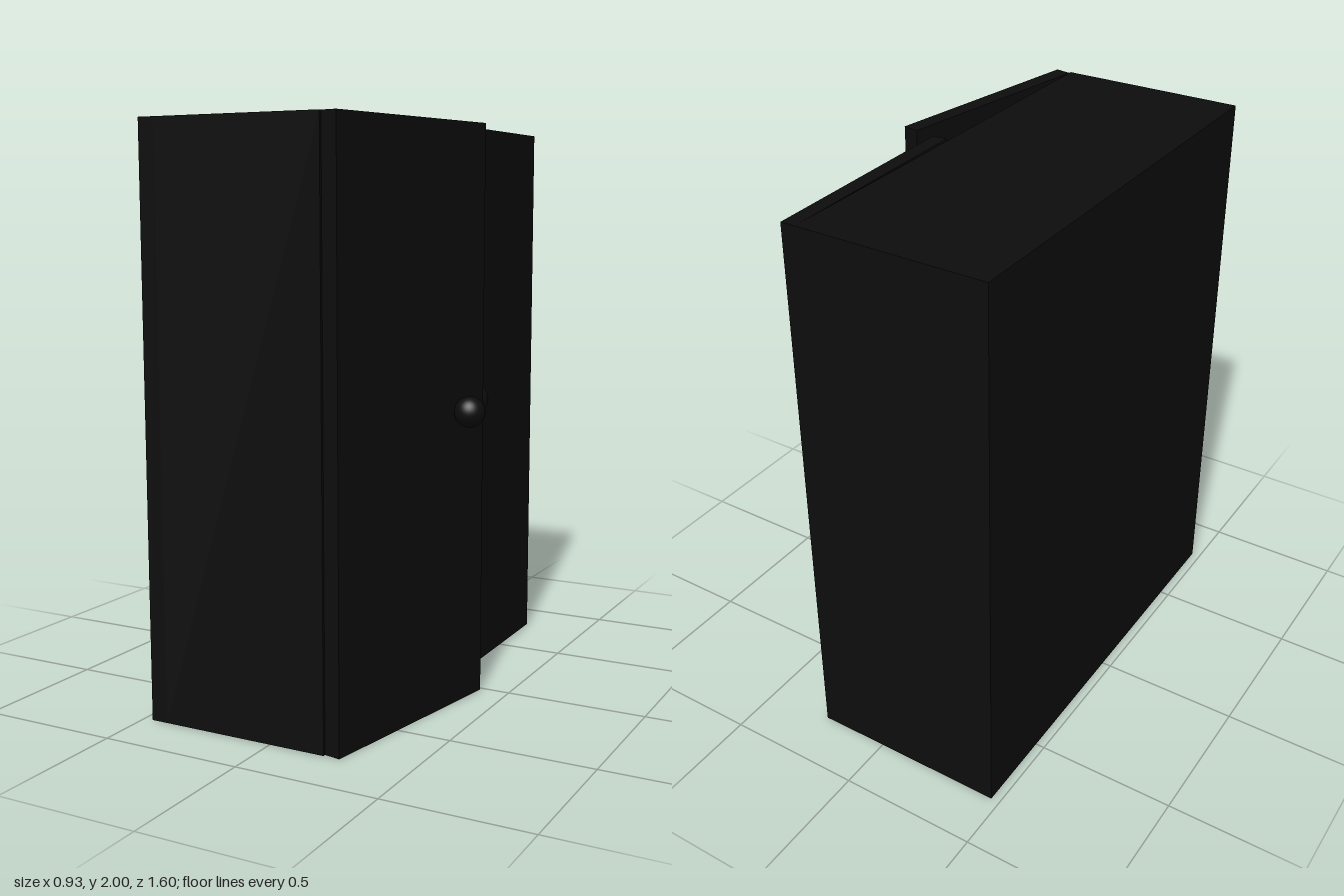
import * as THREE from 'three';

const black = new THREE.MeshStandardMaterial({ color: 0x0d0d0d });
black.name = 'black paint';

function box(name, w, h, d, x, y, z) {
  const mesh = new THREE.Mesh(new THREE.BoxGeometry(w, h, d), black);
  mesh.name = name;
  mesh.position.set(x, y, z);
  return mesh;
}

// A door hinged on its inner corner; side = +1 hinges at +z, -1 at -z
function door(name, side, hingeZ, degrees, thick, knobX) {
  const group = new THREE.Group();
  group.name = name;
  const width = 0.797;
  group.add(box('doorPanel', thick, 2, width, thick / 2, 1, -side * width / 2));

  const knob = new THREE.Mesh(new THREE.SphereGeometry(0.053, 32, 20), black);
  knob.name = 'knob';
  knob.position.set(knobX, 1.03, -side * 0.652);
  group.add(knob);

  group.position.set(0.2, 0, hingeZ);
  group.rotation.y = -side * THREE.MathUtils.degToRad(degrees);
  return group;
}

export function createModel() {
  const model = new THREE.Group();
  model.name = 'wardrobe';

  // Hollow cabinet, open towards +x
  const t = 0.06, x0 = -0.467, x1 = 0.2;
  const depth = x1 - x0, midX = (x0 + x1) / 2;
  const cabinet = new THREE.Group();
  cabinet.name = 'cabinet';
  cabinet.add(box('backPanel', t, 2, 1.6, x0 + t / 2, 1, 0));
  for (const s of [-1, 1]) {
    cabinet.add(box('sidePanel', depth - t, 2, t, midX + t / 2, 1, s * (0.8 - t / 2)));
  }
  for (const [name, y] of [['topPanel', 2 - t / 2], ['bottomPanel', t / 2]]) {
    cabinet.add(box(name, depth - t, t, 1.6 - 2 * t, midX + t / 2, y, 0));
  }
  model.add(cabinet);

  // One door ajar, the other almost closed
  model.add(door('openDoor', 1, 0.79, 10, 0.058, 0.1));
  model.add(door('closedDoor', -1, -0.8, 0.9, 0.052, 0.077));
  return model;
}
